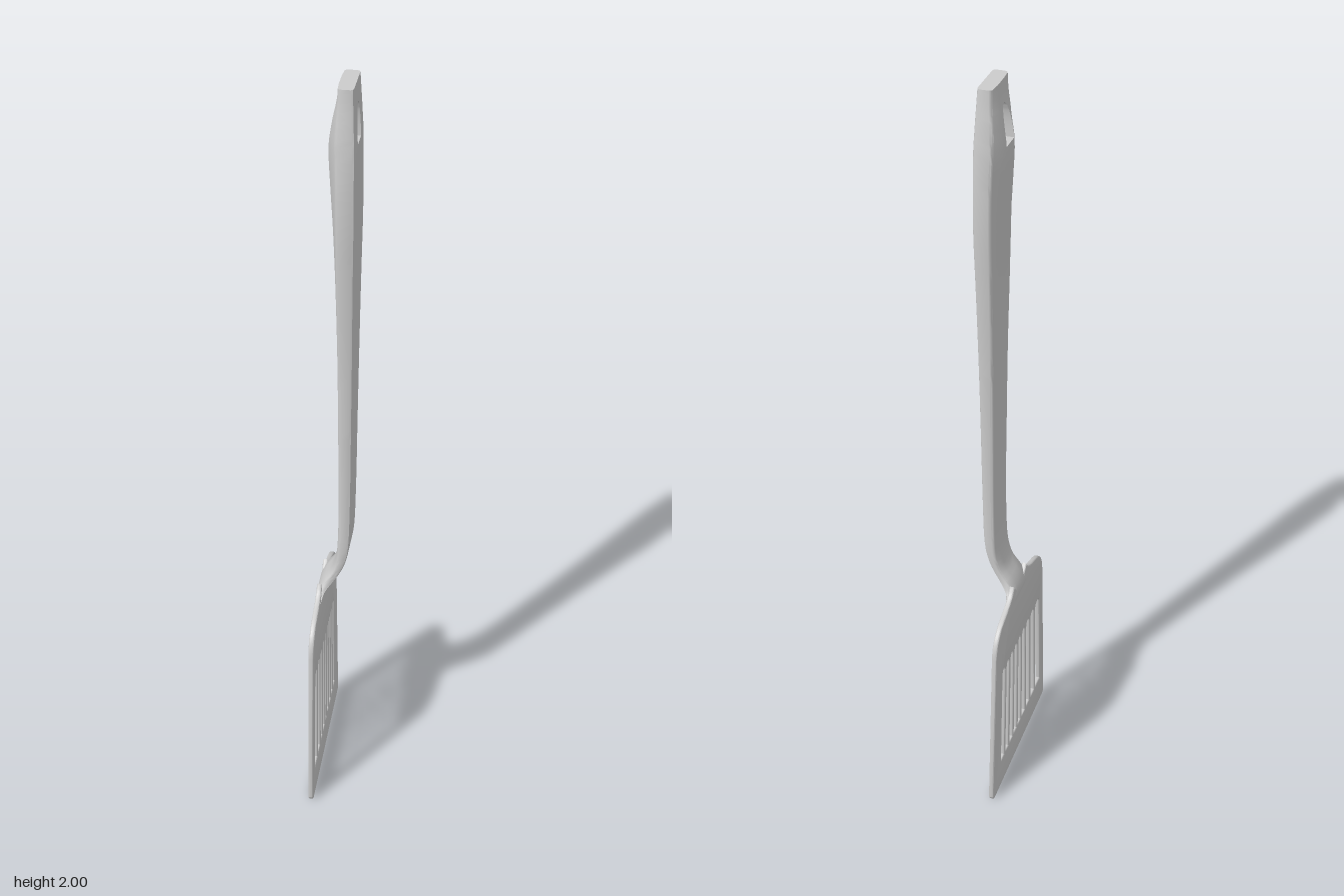
import * as THREE from 'three';
import { toCreasedNormals } from 'three/addons/utils/BufferGeometryUtils.js';

const material = new THREE.MeshStandardMaterial({ color: 0xcccccc, side: THREE.DoubleSide });

// Handle stations: height, back x, front x, half width, depth of back chamfer
const stations = [
  [0.55, -0.044, -0.036, 0.10, 0.002], [0.575, -0.049, -0.033, 0.085, 0.003],
  [0.60, -0.048, -0.026, 0.062, 0.004], [0.63, -0.034, -0.006, 0.051, 0.004],
  [0.66, -0.014, 0.011, 0.050, 0.004], [0.70, -0.002, 0.026, 0.052, 0.004],
  [0.76, 0.003, 0.036, 0.053, 0.004], [0.90, 0.005, 0.040, 0.053, 0.004],
  [1.10, 0.004, 0.042, 0.056, 0.004], [1.30, 0.002, 0.044, 0.061, 0.005],
  [1.50, -0.002, 0.046, 0.070, 0.007], [1.65, -0.007, 0.048, 0.077, 0.011],
  [1.76, -0.013, 0.048, 0.077, 0.016], [1.85, -0.017, 0.048, 0.072, 0.018],
  [1.91, -0.010, 0.046, 0.066, 0.012], [1.96, 0.000, 0.044, 0.060, 0.006],
  [2.00, 0.005, 0.042, 0.056, 0.002],
];
const HOLE_LOW = 1.86, HOLE_HIGH = 1.952;

// Smooth interpolation of the stations at any height
function stationSampler() {
  const curve = (i, j) => new THREE.CatmullRomCurve3(
    stations.map(s => new THREE.Vector3(s[i], s[0], s[j])), false, 'catmullrom').getPoints(320);
  const depth = curve(1, 2), width = curve(3, 4);
  return y => {
    let i = 0;
    while (i < depth.length - 2 && depth[i + 1].y < y) i++;
    const t = (y - depth[i].y) / (depth[i + 1].y - depth[i].y);
    const d = depth[i].clone().lerp(depth[i + 1], t), w = width[i].clone().lerp(width[i + 1], t);
    return { back: d.x, front: d.z, w: w.x, chamfer: w.z };
  };
}

// Half of the cross-section, from the inner back edge round to the inner front edge
function halfSection({ back: b, front: f, w, chamfer: k }, hole) {
  const r = Math.min(0.007, (f - b - k) * 0.35);
  return [
    [b, hole], [b, Math.max(hole, w * 0.4)], [b + k, w * 0.9], [b + k + r * 0.4, w * 0.97],
    [b + k + r, w], [f - r, w], [f - r * 0.3, w - r * 0.3], [f, w - r], [f, hole],
  ];
}

// Handle and neck: two mirrored lofts that part round the hanging hole
function handleGeometry() {
  const sample = stationSampler();
  const rows = [];
  for (let i = 0; i <= 20; i++) rows.push([0.55 + 0.25 * i / 20, 0]);
  for (let i = 1; i <= 40; i++) rows.push([0.8 + (HOLE_LOW - 0.8) * i / 40, 0]);
  for (let i = 0; i <= 12; i++) {
    const t = Math.sin(i / 12 * Math.PI / 2);
    rows.push([HOLE_LOW + (HOLE_HIGH - HOLE_LOW) * t, 0.026 * Math.sqrt(Math.max(0, 1 - t ** 2.4))]);
  }
  for (let i = 1; i <= 4; i++) rows.push([HOLE_HIGH + (2 - HOLE_HIGH) * i / 4, 0]);

  const positions = [], index = [];
  for (const side of [1, -1]) {
    const base = positions.length / 3;
    const tri = (a, b, c) => index.push(base + a, base + (side > 0 ? b : c), base + (side > 0 ? c : b));
    let n = 0;
    rows.forEach(([y, hole], r) => {
      const section = halfSection(sample(y), hole);
      n = section.length;
      section.forEach(([x, z]) => positions.push(x, y, z * side));
      if (r === 0) return;
      const openHole = hole > 0 || rows[r - 1][1] > 0;
      for (let j = 0; j < (openHole ? n : n - 1); j++) {
        const k = (j + 1) % n, lo = (r - 1) * n, hi = r * n;
        tri(lo + j, lo + k, hi + k);
        tri(lo + j, hi + k, hi + j);
      }
    });
    // flat top end
    const top = (rows.length - 1) * n;
    for (let j = 1; j < n - 1; j++) tri(top, top + j, top + j + 1);
  }
  const geometry = new THREE.BufferGeometry();
  geometry.setAttribute('position', new THREE.Float32BufferAttribute(positions, 3));
  geometry.setIndex(index);
  return toCreasedNormals(geometry, 0.6);
}

// Blade: tapered plate with rounded shoulders and a row of fanned slots
function bladeGeometry() {
  const s = new THREE.Shape();
  s.moveTo(-0.215, 0);
  s.lineTo(0.215, 0);
  s.quadraticCurveTo(0.229, 0, 0.228, 0.02);
  s.lineTo(0.198, 0.49);
  s.bezierCurveTo(0.194, 0.55, 0.165, 0.567, 0.125, 0.58);
  s.bezierCurveTo(0.085, 0.592, 0.062, 0.602, 0.052, 0.625);
  s.lineTo(0.03, 0.60);
  s.lineTo(-0.03, 0.60);
  s.lineTo(-0.052, 0.625);
  s.bezierCurveTo(-0.062, 0.602, -0.085, 0.592, -0.125, 0.58);
  s.bezierCurveTo(-0.165, 0.567, -0.194, 0.55, -0.198, 0.49);
  s.lineTo(-0.228, 0.02);
  s.quadraticCurveTo(-0.229, 0, -0.215, 0);

  // bar centres at the top of the slots; they spread towards the lower edge
  const bars = [-0.153, -0.118, -0.085, -0.051, -0.018, 0.014, 0.050, 0.088, 0.130, 0.176];
  for (let i = 0; i < bars.length - 1; i++) {
    const a = bars[i] + 0.006, b = bars[i + 1] - 0.006;
    const a2 = bars[i] * 1.09 + 0.006, b2 = bars[i + 1] * 1.09 - 0.006;
    const slot = new THREE.Path();
    slot.moveTo(a2, 0.09);
    slot.lineTo(a, 0.397);
    slot.bezierCurveTo(a, 0.418, b, 0.418, b, 0.397);
    slot.lineTo(b2, 0.09);
    slot.closePath();
    s.holes.push(slot);
  }
  const g = new THREE.ExtrudeGeometry(s, {
    depth: 0.007, bevelEnabled: true, bevelSize: 0.004, bevelOffset: -0.004,
    bevelThickness: 0.0035, bevelSegments: 3, curveSegments: 10,
  });
  g.translate(0, 0, -0.0035);
  g.rotateY(-Math.PI / 2);
  g.translate(-0.041, 0, 0);
  return toCreasedNormals(g, 0.7);
}

export function createModel() {
  const model = new THREE.Group();
  model.name = 'slottedTurner';
  const parts = { handle: handleGeometry(), slottedBlade: bladeGeometry() };
  for (const [name, geometry] of Object.entries(parts)) {
    const mesh = new THREE.Mesh(geometry, material);
    mesh.name = name;
    model.add(mesh);
  }
  return model;
}
